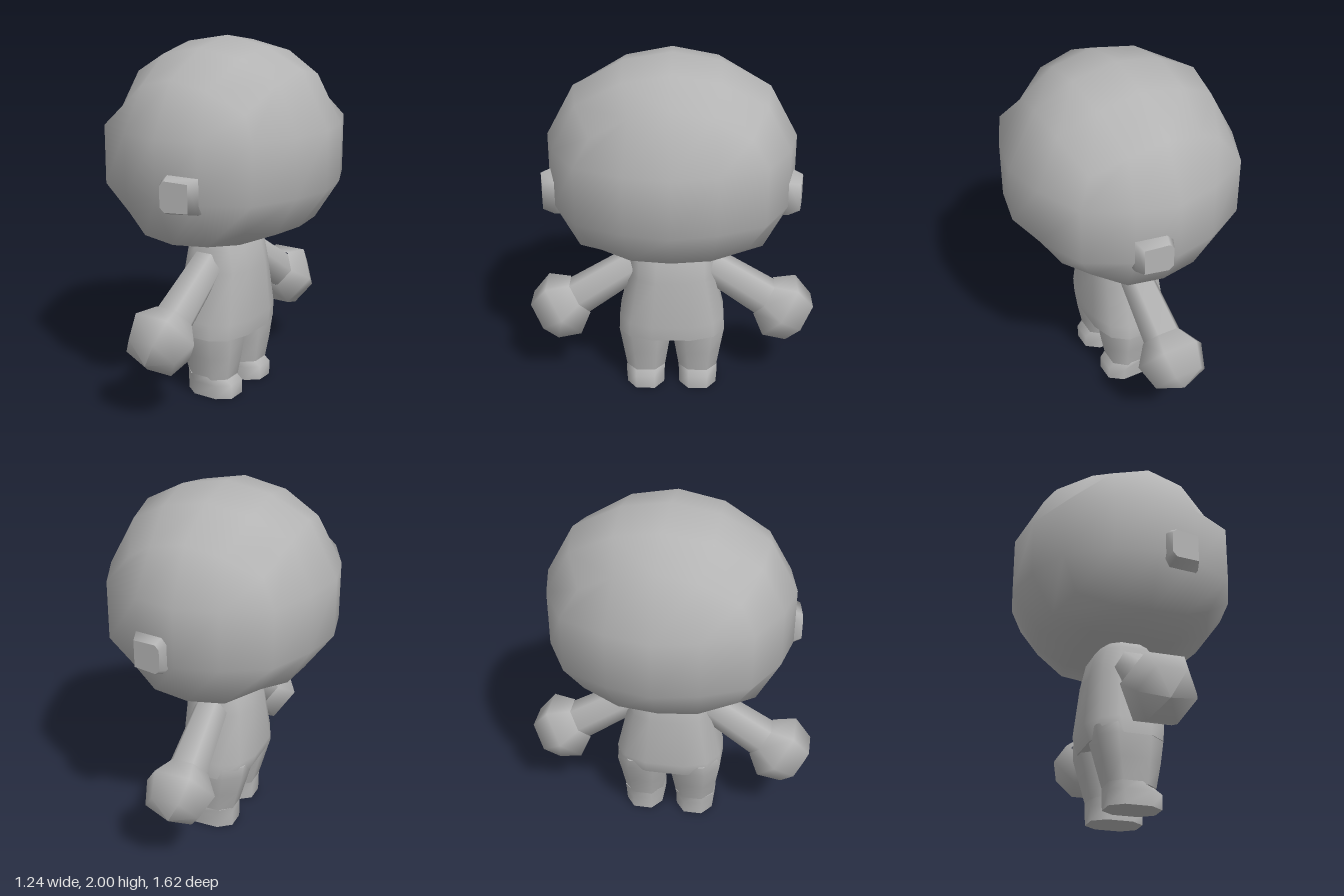
import * as THREE from 'three';
import { mergeVertices } from 'three/addons/utils/BufferGeometryUtils.js';

const grey = new THREE.MeshStandardMaterial({ color: 0xb4b4b4 });
grey.name = 'plain grey';

function add(parent, name, geometry) {
  const mesh = new THREE.Mesh(geometry, grey);
  mesh.name = name;
  parent.add(mesh);
  return mesh;
}

// Smooth skin over rings of equal length (bottom to top), with sharp flat caps
function loft(rings) {
  const n = rings[0].length, pos = [], idx = [];
  rings.forEach(r => r.forEach(p => pos.push(...p)));
  for (let j = 0; j < rings.length - 1; j++) {
    for (let i = 0; i < n; i++) {
      const a = j * n + i, b = j * n + (i + 1) % n;
      idx.push(a, b, b + n, a, b + n, a + n);
    }
  }
  [rings[0], rings[rings.length - 1]].forEach((ring, top) => {
    const s = pos.length / 3;
    ring.forEach(p => pos.push(...p));
    for (let i = 1; i < n - 1; i++) idx.push(s, s + (top ? i : i + 1), s + (top ? i + 1 : i));
  });
  const g = new THREE.BufferGeometry();
  g.setAttribute('position', new THREE.Float32BufferAttribute(pos, 3));
  g.setIndex(idx);
  g.computeVertexNormals();
  return g;
}

// Rounded-square ring at height y between x0..x1 and z0..z1
function ring(y, x0, x1, z0, z1, n = 8, power = 0.8) {
  const soft = v => Math.sign(v) * Math.pow(Math.abs(v), power);
  const flat = Math.pow(Math.cos(Math.PI / n), power);
  return Array.from({ length: n }, (_, i) => {
    const a = (i + 0.5) / n * Math.PI * 2;
    return [
      (x0 + x1) / 2 + (x1 - x0) / 2 * soft(Math.cos(a)) / flat, y,
      (z0 + z1) / 2 - (z1 - z0) / 2 * soft(Math.sin(a)) / flat,
    ];
  });
}

// Head: a 4 x 3 x 4 box grid inflated into a low-poly egg
function headGeometry() {
  const box = new THREE.BoxGeometry(4, 3, 4, 4, 3, 4);
  box.deleteAttribute('uv');
  box.deleteAttribute('normal');
  const g = mergeVertices(box), p = g.attributes.position;
  const topX = [0, 0.045, 0.155], topZ = [0, 0.045, 0.18];
  const lowX = [0, 0.015, 0.095], lowZ = [0, 0.005, 0.05];
  for (let v = 0; v < p.count; v++) {
    const i = Math.round(p.getX(v)), k = Math.round(p.getZ(v));
    const j = Math.round(p.getY(v) + 1.5), a = Math.abs(i), c = Math.abs(k);
    let x, y, z;
    if (j === 1 || j === 2) {
      x = a === 2 ? [0.62, 0.57, 0.46][c] : [0, 0.225][a];
      z = c === 2 ? [0.67, 0.62, 0.49][a] : [0, 0.24][c];
      y = j === 2 ? 1.543 : 1.225;
    } else {
      x = a === 2 ? [0.46, 0.44, 0.37][c] : [0, [0.25, 0.24, 0.2][c]][a];
      z = c === 2 ? [0.52, 0.495, 0.41][a] : [0, [0.26, 0.25, 0.21][a]][c];
      y = j === 3 ? 2 - topX[a] - topZ[c] : 0.91 + lowX[a] + lowZ[c];
    }
    p.setXYZ(v, Math.sign(i) * x, y, Math.sign(k) * z);
  }
  g.computeVertexNormals();
  return g;
}

// Ear: chamfered block, outline in x and height, rising along local y
function earGeometry() {
  const outline = [[0.23, 0.093], [0.07, 0.1], [0.04, 0.07], [0.04, -0.07], [0.07, -0.1], [0.23, -0.093]];
  const layer = (scale, near, far) => outline.map(([x, h]) => {
    const sx = 0.135 + (x - 0.135) * scale;
    return [sx, near + (far - near) * (x - 0.04) / 0.19, -h * scale];
  });
  return loft([layer(1, 0.56, 0.56), layer(1, 0.665, 0.62), layer(0.8, 0.71, 0.685)]);
}

// Six-sided turned shape along local y, with corners on the x axis
const turned = pts => new THREE.LatheGeometry(
  pts.map(([r, y]) => new THREE.Vector2(r, y)), 6, Math.PI / 2);

export function createModel() {
  const model = new THREE.Group();
  model.name = 'figure';
  add(model, 'head', headGeometry());

  // Torso: height, back x, front x, half width
  add(model, 'torso', loft([
    [0.36, -0.2, 0.205, 0.303], [0.45, -0.23, 0.215, 0.3], [0.73, -0.2, 0.2, 0.236],
    [0.87, -0.168, 0.165, 0.23], [0.93, -0.12, 0.13, 0.18],
  ].map(([y, x0, x1, w]) => ring(y, x0, x1, -w, w, 12, 0.75))));

  for (const side of [1, -1]) {
    const word = side > 0 ? 'left' : 'right';
    const sided = (y, x0, x1, inner, outer) =>
      ring(y, x0, x1, Math.min(inner * side, outer * side), Math.max(inner * side, outer * side));

    const ear = add(model, word + 'Ear', earGeometry());
    ear.rotation.x = side * Math.PI / 2;
    ear.position.y = 1.27;

    // Leg and boot
    add(model, word + 'Leg', loft([
      sided(0.11, -0.125, 0.133, 0.04, 0.263), sided(0.24, -0.16, 0.155, 0.02, 0.283),
      sided(0.36, -0.192, 0.168, 0.0, 0.303), sided(0.42, -0.195, 0.17, 0.0, 0.29),
    ]));
    add(model, word + 'Boot', loft([
      sided(0, -0.125, 0.163, 0.045, 0.26), sided(0.08, -0.127, 0.163, 0.042, 0.265),
      sided(0.123, -0.127, 0.1, 0.04, 0.265),
    ]));

    // Arm and hand share one slanted axis, centred on the hand
    const arm = new THREE.Group();
    arm.name = word + 'ArmGroup';
    arm.position.set(0, 0.465, side * 0.645);
    arm.rotation.x = side * 2.165;
    add(arm, word + 'Arm', turned([[0, -0.55], [0.095, -0.55], [0.115, -0.12]]));
    add(arm, word + 'Hand', turned([[0.12, -0.14], [0.2, -0.028], [0.155, 0.11], [0, 0.165]]));
    model.add(arm);
  }
  return model;
}
